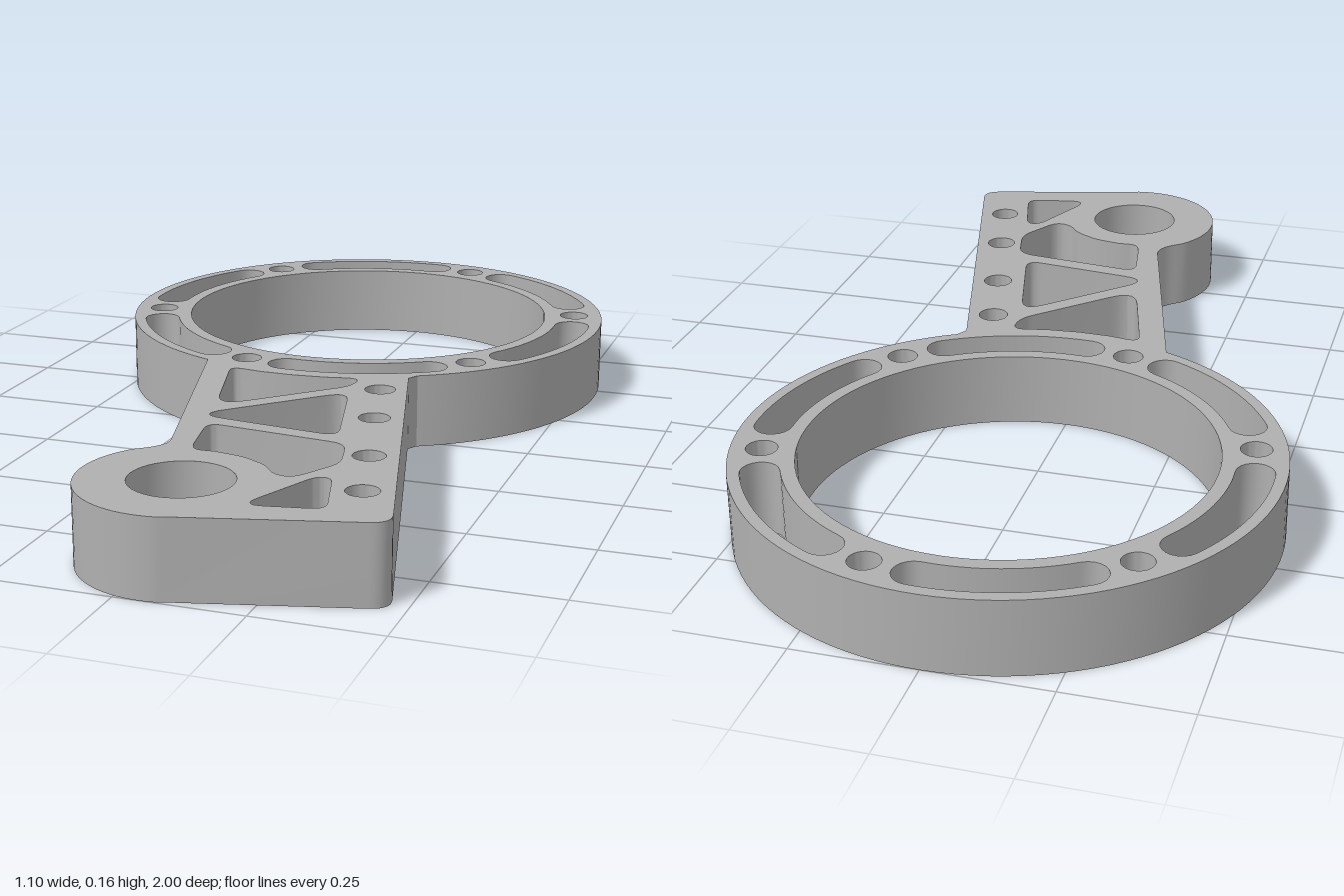
import * as THREE from 'three';
import { mergeGeometries, toCreasedNormals } from 'three/addons/utils/BufferGeometryUtils.js';

const T = 0.157;            // plate thickness
const RING = [0, -0.45];    // ring centre (x, z)
const BOSS = [0.05, 0.803]; // small end centre
const rad = THREE.MathUtils.degToRad;

// Points on an arc in (x, z); angles in degrees from +x towards +z
function arc([cx, cz], r, a0, a1, n) {
  return Array.from({ length: n + 1 }, (_, i) => {
    const a = rad(a0 + ((a1 - a0) * i) / n);
    return [cx + r * Math.cos(a), cz + r * Math.sin(a)];
  });
}
const circle = (c, r, n = 32) => arc(c, r, 0, 360, n).slice(0, n);

// Polygon with its corners cut back and rounded; corner = [x, z, cut]
function rounded(corners) {
  const out = [], n = corners.length;
  corners.forEach(([x, z, cut], i) => {
    if (!cut) return out.push([x, z]);
    const toward = ([px, pz]) => {
      const len = Math.hypot(px - x, pz - z), k = Math.min(cut / len, 0.48);
      return new THREE.Vector2(x + (px - x) * k, z + (pz - z) * k);
    };
    const a = toward(corners[(i + n - 1) % n]), b = toward(corners[(i + 1) % n]);
    new THREE.QuadraticBezierCurve(a, new THREE.Vector2(x, z), b)
      .getPoints(7).forEach((p) => out.push([p.x, p.y]));
  });
  return out;
}

// Curved slot following the ring
function slot(mid) {
  const r = 0.4865, w = 0.039, h = 18.5;
  const [e0] = arc(RING, r, mid - h, mid - h, 1), [e1] = arc(RING, r, mid + h, mid + h, 1);
  return [
    ...arc(RING, r + w, mid - h, mid + h, 16),
    ...arc(e1, w, mid + h, mid + h + 180, 10).slice(1),
    ...arc(RING, r - w, mid + h, mid - h, 16).slice(1),
    ...arc(e0, w, mid - h + 180, mid - h + 360, 10).slice(1, -1),
  ];
}

const toVec = (pts) => pts.map(([x, z]) => new THREE.Vector2(x, -z));

// Wall between two matching loops; holes face inwards
function wall(low, y0, high, y1, isHole) {
  let a = toVec(low), b = toVec(high);
  if (THREE.ShapeUtils.isClockWise(a) !== isHole) { a = a.reverse(); b = b.reverse(); }
  const pos = [], n = a.length;
  for (let i = 0; i < n; i++) {
    const j = (i + 1) % n;
    const p = [a[i].x, y0, -a[i].y], q = [a[j].x, y0, -a[j].y];
    const r = [b[j].x, y1, -b[j].y], s = [b[i].x, y1, -b[i].y];
    pos.push(...p, ...q, ...r, ...p, ...r, ...s);
  }
  const g = new THREE.BufferGeometry();
  g.setAttribute('position', new THREE.Float32BufferAttribute(pos, 3));
  return g;
}

// Flat face with holes, looking up or down
function cap(outline, holes, y, down) {
  const shape = new THREE.Shape(toVec(outline));
  shape.holes = holes.map((h) => new THREE.Path(toVec(h)));
  let g = new THREE.ShapeGeometry(shape);
  if (down) g.index.array.reverse();
  g = g.rotateX(-Math.PI / 2).translate(0, y, 0).toNonIndexed();
  g.deleteAttribute('normal');
  g.deleteAttribute('uv');
  return g;
}

export function createModel() {
  const group = new THREE.Group();
  group.name = 'ringBracket';
  const metal = new THREE.MeshStandardMaterial({ color: 0xb0b0b0 });
  metal.name = 'grey metal';

  // Outer contour: ring, straight arm side, square corner, round boss, fillet
  const corner = rounded([[0.252, 0.055, 0], [0.473, 0.891, 0.04], [0.1, 0.991, 0]]);
  const fillet = new THREE.QuadraticBezierCurve(
    new THREE.Vector2(-0.088, 0.666), new THREE.Vector2(-0.045, 0.632), new THREE.Vector2(-0.058, 0.595),
  ).getPoints(8).map((p) => [p.x, p.y]);
  const outline = [
    ...arc(RING, 0.55, 111.4, 421.2, 96),
    ...corner,
    ...arc(BOSS, 0.197, 75, 224, 32).slice(1, -1),
    ...fillet,
  ];

  // Straight-through openings
  const through = [circle(RING, 0.418, 96), circle(BOSS, 0.1, 48)];
  for (let i = 0; i < 6; i++) through.push(slot(15 + i * 60));
  for (const c of [[0.22, 0.153], [0.267, 0.341], [0.328, 0.566], [0.376, 0.754]]) {
    through.push(circle(c, 0.032));
  }
  through.push(
    // Lightening pockets of the arm
    rounded([[-0.132, 0.1, 0.03], [-0.06, 0.111, 0], [0.01, 0.113, 0], [0.08, 0.107, 0],
      [0.158, 0.091, 0.03], [0.155, 0.15, 0.03], [-0.06, 0.365, 0.07]]),
    rounded([[0.166, 0.194, 0.055], [0.236, 0.473, 0.04], [-0.076, 0.436, 0.065]]),
    rounded([[-0.03, 0.482, 0.035], [0.266, 0.515, 0.035], [0.292, 0.625, 0.03], [0.235, 0.728, 0.03],
      [0.195, 0.722, 0.025], [0.165, 0.68, 0.02], [0.11, 0.649, 0.02], [0.05, 0.638, 0],
      [0.008, 0.64, 0.015], [-0.005, 0.617, 0.012]]),
    rounded([[0.273, 0.712, 0.025], [0.304, 0.708, 0.025], [0.346, 0.863, 0.03], [0.197, 0.893, 0.045]]),
  );

  // Ring screw holes, countersunk underneath
  const narrow = [], wide = [], parts = [];
  for (let i = 0; i < 6; i++) {
    const [c] = arc(RING, 0.4865, 45 + i * 60, 45 + i * 60, 1);
    const small = circle(c, 0.032), big = circle(c, 0.055);
    narrow.push(small);
    wide.push(big);
    parts.push(wall(big, 0, small, 0.04, true), wall(small, 0.04, small, T, true));
  }

  parts.push(cap(outline, [...through, ...narrow], T, false));
  parts.push(cap(outline, [...through, ...wide], 0, true));
  parts.push(wall(outline, 0, outline, T, false));
  for (const h of through) parts.push(wall(h, 0, h, T, true));

  const bracket = new THREE.Mesh(toCreasedNormals(mergeGeometries(parts), 0.42), metal);
  bracket.name = 'ringAndArmPlate';
  group.add(bracket);
  return group;
}
